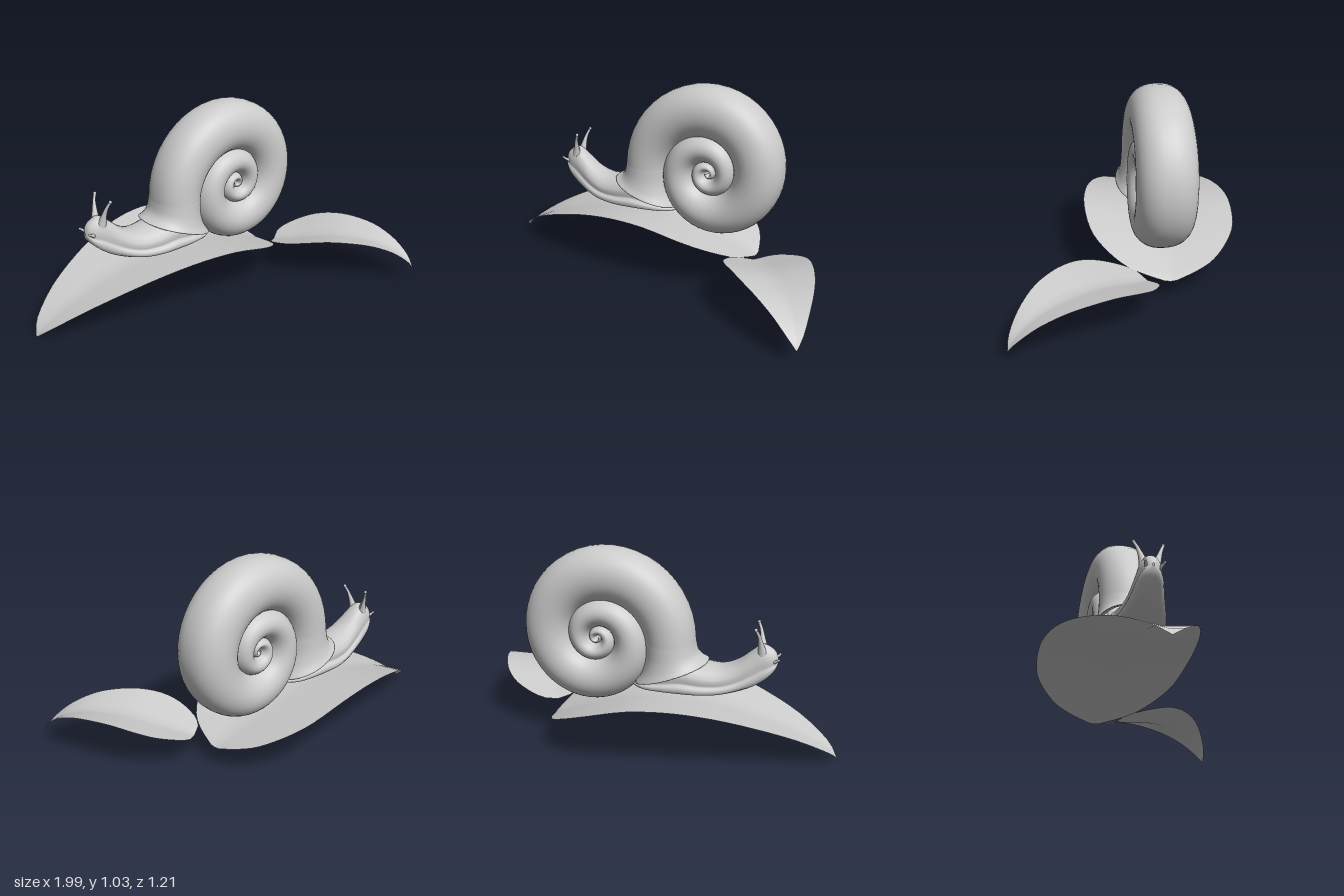
import * as THREE from 'three';

const mat = new THREE.MeshStandardMaterial({ color: 0xcccccc, side: THREE.DoubleSide });
const SNAIL_Z = -0.178;

// Smooth interpolation through rows of numbers, t counted in rows
function spline(rows, t) {
  const last = rows.length - 1;
  const i = Math.min(Math.max(Math.floor(t), 0), last - 1), f = t - i;
  const at = k => rows[Math.min(Math.max(k, 0), last)];
  return rows[i].map((p1, k) => {
    const p0 = at(i - 1)[k], p2 = at(i + 1)[k], p3 = at(i + 2)[k];
    return p1 + 0.5 * f * (p2 - p0 + f * (2 * p0 - 5 * p1 + 4 * p2 - p3 + f * (3 * (p1 - p2) + p3 - p0)));
  });
}

function samples(rows, perRow) {
  const n = (rows.length - 1) * perRow;
  return Array.from({ length: n + 1 }, (_, i) => spline(rows, i / perRow));
}

// Skin a list of cross-sections, each a list of [x, y, z]
function loft(name, rings, closed) {
  const n = rings[0].length, index = [];
  for (let i = 0; i < rings.length - 1; i++) {
    for (let j = 0; j < (closed ? n : n - 1); j++) {
      const a = i * n + j, b = i * n + (j + 1) % n;
      index.push(a, b, a + n, b, b + n, a + n);
    }
  }
  const geo = new THREE.BufferGeometry();
  geo.setAttribute('position', new THREE.Float32BufferAttribute(rings.flat(2), 3));
  geo.setIndex(index);
  geo.computeVertexNormals();
  return named(name, geo);
}

function named(name, geo) {
  const mesh = new THREE.Mesh(geo, mat);
  mesh.name = name;
  return mesh;
}

// Leaf along +x, stations [along, half width, midrib height], folded up in a V
function leaf(name, stations, fold) {
  const rings = samples(stations, 3).map(([x, h, y]) => {
    const half = Math.max(h, 0);
    return [-1, -0.75, -0.5, -0.25, 0, 0.25, 0.5, 0.75, 1].map(w =>
      [x, y + fold * half * Math.abs(w), w * half]);
  });
  return loft(name, rings, false);
}

// Coiled shell: outer radius and half thickness at every quarter turn
function shell() {
  const cx = 0.24, cy = 0.56;
  const radii = [0.5, 0.47, 0.397, 0.34, 0.27, 0.215, 0.16, 0.125, 0.1, 0.07, 0.047, 0.032,
    0.022, 0.015, 0.01, 0.006, 0.004].map(r => [r]);
  const halves = [0.15, 0.15, 0.151, 0.149, 0.142, 0.134, 0.125, 0.118, 0.11, 0.102, 0.093, 0.085, 0.08].map(b => [b]);

  const coil = t => {
    const [R] = spline(radii, t), [inner] = spline(radii, t + 4), [b] = spline(halves, t);
    const a = (R - inner) / 2 * 1.12, angle = Math.PI - t * Math.PI / 2;
    const ux = Math.cos(angle), uy = Math.sin(angle);
    return [cx + ux * (R - a), cy + uy * (R - a), ux, uy, a, b];
  };

  // Flared lip, from the turned-in rim back to the first whorl
  const mouth = [
    [-0.14, 0.41, -0.946, 0.324, 0.17, 0.155],
    [-0.14, 0.395, -0.946, 0.324, 0.2, 0.182],
    [-0.14, 0.43, -0.96, 0.28, 0.163, 0.167],
    [-0.138, 0.485, -0.985, 0.15, 0.136, 0.155],
    coil(0),
  ];
  const frames = samples(mouth, 4);
  for (let i = 1; i <= 144; i++) frames.push(coil(i / 12));

  const rings = frames.map(([x, y, ux, uy, a, b]) => Array.from({ length: 40 }, (_, j) => {
    const th = j / 40 * Math.PI * 2, c = Math.cos(th) * a, s = Math.sin(th);
    return [x + ux * c, y + uy * c, SNAIL_Z + b * Math.sign(s) * Math.abs(s) ** 0.85];
  }));
  return loft('shell', rings, true);
}

// Body with a foot rim: stations [x, bottom, top, half width, centre z]
function body() {
  const stations = [
    [-0.685, 0.485, 0.5, 0.004, -0.195], [-0.672, 0.452, 0.535, 0.036, -0.195],
    [-0.64, 0.415, 0.562, 0.058, -0.193], [-0.6, 0.383, 0.572, 0.07, -0.19],
    [-0.55, 0.355, 0.535, 0.083, -0.186], [-0.48, 0.33, 0.478, 0.103, -0.18],
    [-0.4, 0.313, 0.447, 0.125, SNAIL_Z], [-0.3, 0.306, 0.455, 0.143, SNAIL_Z],
    [-0.2, 0.305, 0.48, 0.147, SNAIL_Z], [-0.1, 0.308, 0.44, 0.14, SNAIL_Z],
    [0, 0.31, 0.39, 0.11, SNAIL_Z], [0.09, 0.315, 0.34, 0.02, SNAIL_Z],
  ];
  const side = [[0.4, 0], [0.75, 0.01], [0.94, 0.07], [1, 0.17], [0.96, 0.27], [0.84, 0.31],
    [0.83, 0.38], [0.87, 0.48], [0.84, 0.62], [0.72, 0.79], [0.5, 0.92], [0.25, 0.985]];
  const profile = [[0, 0], ...side.map(([w, v]) => [-w, v]), [0, 1], ...side.slice().reverse()];
  const rings = samples(stations, 4).map(([x, lo, hi, h, z]) =>
    profile.map(([w, v]) => [x, lo + (hi - lo) * v, z + w * h]));
  return loft('body', rings, true);
}

// Tapered stalk with a rounded knob at its end
function stalk(name, points, r0, r1, knob) {
  const group = new THREE.Group();
  group.name = name;
  const curve = new THREE.CatmullRomCurve3(points.map(p => new THREE.Vector3(...p)));
  const steps = 10, sides = 10, geo = new THREE.TubeGeometry(curve, steps, 1, sides);
  const pos = geo.attributes.position, p = new THREE.Vector3();
  for (let i = 0; i < pos.count; i++) {
    const t = Math.floor(i / (sides + 1)) / steps, c = curve.getPointAt(t);
    p.fromBufferAttribute(pos, i).sub(c).multiplyScalar(r1 + (r0 - r1) * (1 - t) ** 2).add(c);
    pos.setXYZ(i, p.x, p.y, p.z);
  }
  geo.computeVertexNormals();
  const tip = named(name + 'Tip', new THREE.SphereGeometry(knob, 12, 8));
  tip.position.set(...points[points.length - 1]);
  group.add(named(name + 'Stem', geo), tip);
  return group;
}

export function createModel() {
  const model = new THREE.Group();
  model.name = 'snailOnLeaves';
  model.add(shell(), body());

  // Eye stalks and the short feelers below them
  for (const s of [1, -1]) {
    const z = -0.19, label = s > 0 ? 'left' : 'right';
    model.add(stalk(label + 'EyeStalk',
      [[-0.605, 0.53, z + s * 0.03], [-0.597, 0.585, z + s * 0.045], [-0.588, 0.63, z + s * 0.06], [-0.573, 0.665, z + s * 0.074]],
      0.026, 0.007, 0.009));
    model.add(stalk(label + 'Feeler',
      [[-0.645, 0.485, z + s * 0.025], [-0.67, 0.495, z + s * 0.038], [-0.688, 0.508, z + s * 0.048]],
      0.017, 0.006, 0.007));
  }

  // Large leaf under the snail
  const large = leaf('largeLeaf', [
    [-1, 0.002, 0], [-0.95, 0.075, 0.05], [-0.8, 0.172, 0.13], [-0.6, 0.26, 0.2], [-0.4, 0.328, 0.25],
    [-0.2, 0.376, 0.275], [0, 0.398, 0.268], [0.2, 0.38, 0.22], [0.32, 0.325, 0.18],
    [0.42, 0.235, 0.14], [0.47, 0.14, 0.118], [0.5, 0.03, 0.1]], 0.13);
  large.position.z = -0.207;

  // Small leaf beside it
  const small = leaf('smallLeaf', [
    [-0.005, 0.07, 0.13], [0.03, 0.128, 0.14], [0.13, 0.195, 0.163], [0.24, 0.217, 0.19], [0.36, 0.205, 0.21],
    [0.48, 0.178, 0.213], [0.59, 0.14, 0.203], [0.7, 0.088, 0.168], [0.78, 0.04, 0.115], [0.815, 0.003, 0.07]], 0.22);
  small.position.set(0.53, 0, -0.08);
  small.rotation.y = -Math.atan2(0.835, 0.55);

  model.add(large, small);
  return model;
}
